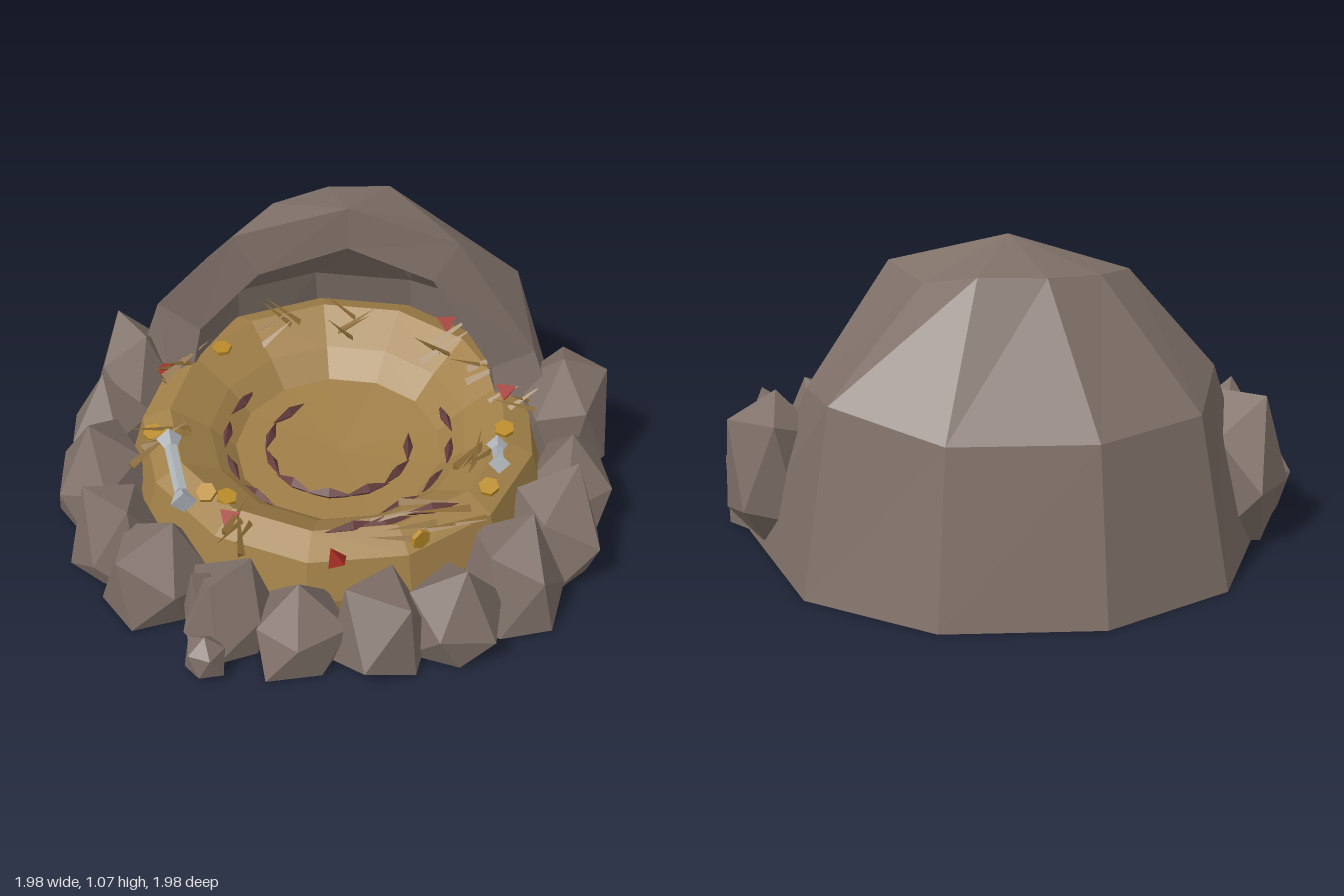
import * as THREE from 'three';
import { mergeVertices } from 'three/addons/utils/BufferGeometryUtils.js';

const mat = (name, color, side = THREE.FrontSide) =>
  new THREE.MeshStandardMaterial({ name, color, side, flatShading: true });

export function createModel() {
  const model = new THREE.Group();
  const stone = mat('stone', 0x7f7068, THREE.DoubleSide);
  const straw = mat('straw', 0xa07f48);
  const dryGrass = mat('dryGrass', 0x8a6a36);
  const twigBrown = mat('twigBrown', 0x663f3e);
  const bone = mat('bone', 0xb0b5bb);
  const gold = mat('gold', 0xb88a28);
  const red = mat('red', 0x9c2a20);

  let seed = 7;
  const rand = (a = 0, b = 1) => {
    seed = (seed * 16807) % 2147483647;
    return a + (b - a) * (seed / 2147483647);
  };
  const group = (name) => {
    const g = new THREE.Group();
    g.name = name;
    model.add(g);
    return g;
  };
  const add = (parent, name, geo, material, x = 0, y = 0, z = 0) => {
    const m = new THREE.Mesh(geo, material);
    m.name = name;
    m.position.set(x, y, z);
    parent.add(m);
    return m;
  };

  // Stone hood: rows of six columns around the back, closing at an apex
  const outer = [
    [[0.89, 0, -0.15], [0.67, 0, -0.73], [0.25, 0, -0.99], [-0.27, 0, -0.99], [-0.68, 0, -0.73], [-0.89, 0, -0.15]],
    [[0.67, 0.55, -0.25], [0.58, 0.62, -0.65], [0.22, 0.56, -0.87], [-0.25, 0.56, -0.87], [-0.59, 0.57, -0.65], [-0.69, 0.61, -0.26]],
    [[0.39, 0.98, -0.23], [0.28, 0.95, -0.42], [0.11, 1.0, -0.55], [-0.11, 0.99, -0.53], [-0.29, 0.97, -0.42], [-0.4, 0.94, -0.23]],
  ];
  const apex = [0, 1.07, -0.26];
  const inner = outer.map((row, r) => row.map(([x, y, z], c) => {
    const edge = c === 0 || c === 5;
    return [x * (r === 0 ? 0.7 : 0.78), y * 0.84, edge ? z : -0.25 + (z + 0.25) * 0.82];
  }));
  const innerApex = [0, 0.91, -0.26];
  const tris = [];
  const quad = (a, b, c, d) => tris.push(...a, ...b, ...c, ...a, ...c, ...d);
  const shell = (rows, top, flip) => {
    for (let c = 0; c < 5; c++) {
      for (let r = 0; r < 2; r++) {
        const q = [rows[r][c], rows[r][c + 1], rows[r + 1][c + 1], rows[r + 1][c]];
        quad(...(flip ? q.reverse() : q));
      }
      const t = [rows[2][c], rows[2][c + 1], top];
      (flip ? t.reverse() : t).forEach((p) => tris.push(...p));
    }
  };
  shell(outer, apex, false);
  shell(inner, innerApex, true);
  for (let c = 0; c < 5; c++) quad(outer[0][c + 1], outer[0][c], inner[0][c], inner[0][c + 1]);
  const arch = (rows, top) => [rows[0][0], rows[1][0], rows[2][0], top, rows[2][5], rows[1][5], rows[0][5]];
  const oa = arch(outer, apex), ia = arch(inner, innerApex);
  for (let i = 0; i < 6; i++) quad(oa[i], oa[i + 1], ia[i + 1], ia[i]);
  const hoodGeo = new THREE.BufferGeometry();
  hoodGeo.setAttribute('position', new THREE.Float32BufferAttribute(tris, 3));
  hoodGeo.computeVertexNormals();
  add(model, 'stoneHood', hoodGeo, stone);

  // Straw nest: a shallow bowl, slightly lower toward the front
  const profile = [[0, 0.006], [0.73, 0.006], [0.74, 0.18], [0.7, 0.32], [0.6, 0.365], [0.46, 0.28], [0.37, 0.2], [0, 0.18]];
  const nestZ = -0.05, tilt = 0.08;
  const nestGeo = new THREE.LatheGeometry(profile.map((p) => new THREE.Vector2(...p)), 13);
  const np = nestGeo.attributes.position;
  for (let i = 0; i < np.count; i++) {
    if (np.getY(i) > 0.01) np.setY(i, np.getY(i) - tilt * np.getZ(i));
  }
  add(model, 'strawNest', nestGeo, straw, 0, 0, nestZ);
  const nestHeight = (x, z) => {
    const r = Math.hypot(x, z - nestZ);
    for (let i = 7; i > 3; i--) {
      const [r0, y0] = profile[i], [r1, y1] = profile[i - 1];
      if (r <= r1) return y0 + (y1 - y0) * (r - r0) / (r1 - r0) - tilt * (z - nestZ);
    }
    return 0.33 - tilt * (z - nestZ);
  };

  // Ring of rough boulders cut off by the ground: x, z, radius, top, underside
  const rocks = group('boulderRing');
  const boulder = (x, z, r, top, under = -0.7 * top) => {
    let geo = new THREE.IcosahedronGeometry(1, 0);
    geo.rotateX(rand(0, 6)).rotateY(rand(0, 6));
    geo.deleteAttribute('uv');
    geo.deleteAttribute('normal');
    geo = mergeVertices(geo, 1e-3);
    const p = geo.attributes.position;
    for (let i = 0; i < p.count; i++) {
      const k = rand(0.96, 1.24);
      p.setXYZ(i, p.getX(i) * k * r, p.getY(i) * k, p.getZ(i) * k * r);
    }
    geo.computeBoundingBox();
    const { min, max } = geo.boundingBox;
    for (let i = 0; i < p.count; i++) {
      const t = (p.getY(i) - min.y) / (max.y - min.y);
      p.setY(i, Math.max(0, under + (top - under) * t));
    }
    geo.computeVertexNormals();
    add(rocks, 'boulder', geo, stone, x, 0, z);
  };
  [[-0.79, -0.26, 0.155, 0.52, -0.1], [-0.84, -0.05, 0.15, 0.42], [-0.81, 0.2, 0.17, 0.41], [-0.68, 0.47, 0.155, 0.35],
    [-0.52, 0.61, 0.18, 0.34], [-0.25, 0.75, 0.155, 0.29], [-0.34, 0.76, 0.05, 0.29], [-0.29, 0.92, 0.07, 0.15, -0.03],
    [-0.01, 0.79, 0.16, 0.3], [0.25, 0.74, 0.175, 0.31], [0.49, 0.66, 0.155, 0.33], [0.67, 0.47, 0.17, 0.37],
    [0.79, 0.22, 0.175, 0.41], [0.83, -0.02, 0.16, 0.4], [0.79, -0.26, 0.155, 0.54, -0.1],
  ].forEach((b) => boulder(...b));

  // Dark twigs laid in two broken rings, plus a loose bundle at the front
  const twigs = group('twigs');
  const twig = (x, z, turn, len) => {
    const t = add(twigs, 'twig', new THREE.OctahedronGeometry(1), twigBrown, x, nestHeight(x, z) + 0.012, z);
    t.scale.set(len, 0.028, 0.018);
    t.rotation.y = turn;
  };
  for (const [radius, count, from, to] of [[0.25, 8, -0.1, 3.75], [0.4, 4, -0.4, 0.85], [0.4, 4, 2.2, 3.5]]) {
    for (let i = 0; i < count; i++) {
      const a = from + (to - from) * i / (count - 1);
      twig(Math.cos(a) * radius, Math.sin(a) * radius - 0.05, -a - Math.PI / 2, 0.085);
    }
  }
  for (const [x, z] of [[0.13, 0.51], [0.23, 0.47], [0.38, 0.4]]) twig(x, z, 0.45, 0.1);

  // Tufts of dry grass on the rim: x, z, heading, upward lean
  const grass = group('dryGrassTufts');
  const tufts = [[-0.21, 0.56, 1.5, 0.3], [0.28, 0.5, 0.35, 0.15], [0.42, 0.42, 0.3, 0.15], [0.62, -0.19, 0.3, 0.4],
    [-0.62, -0.2, 0.9, 0.35], [-0.32, -0.5, 0.3, 0.7], [-0.06, -0.57, 0.2, 0.8], [0.34, -0.48, 0.2, 0.6],
    [0.5, -0.36, 0.5, 0.5], [0.48, 0.1, 1.3, 0.2], [-0.56, 0.2, 0.9, 0.25]];
  for (const [tx, tz, heading, lean] of tufts) {
    for (let i = 0; i < 4; i++) {
      const x = tx + rand(-0.05, 0.05), z = tz + rand(-0.05, 0.05);
      const blade = add(grass, 'grassBlade', new THREE.ConeGeometry(0.016, rand(0.17, 0.26), 3), dryGrass,
        x, nestHeight(x, z) + 0.03, z);
      const up = lean + rand(-0.15, 0.15);
      blade.rotation.set(0, heading + rand(-0.3, 0.3), (Math.PI / 2 - up) * (i % 2 ? 1 : -1));
    }
  }

  // Bones: a shaft with flared ends
  const makeBone = (x, y, z, len, turn, lean) => {
    const g = group('bone');
    g.position.set(x, y, z);
    g.rotation.set(0, turn, lean);
    const w = 0.06 + len * 0.08;
    const shaft = add(g, 'boneShaft', new THREE.CylinderGeometry(w * 0.3, w * 0.3, len, 5), bone);
    shaft.rotation.z = Math.PI / 2;
    for (const s of [-1, 1]) {
      const end = add(g, 'boneEnd', new THREE.ConeGeometry(w * 0.58, w * 1.3, 4), bone, s * len / 2);
      end.rotation.z = s * Math.PI / 2;
    }
  };
  makeBone(-0.5, 0.355, 0.35, 0.22, -1.2, -0.1);
  makeBone(0.58, 0.385, 0.14, 0.07, -1.45, 0.25);

  // Gold coins lying on the straw, and one standing against the front boulders
  const treasure = group('treasure');
  const coin = (x, y, z) =>
    add(treasure, 'coin', new THREE.CylinderGeometry(0.036, 0.036, 0.016, 6), gold, x, y, z);
  for (const [x, z] of [[-0.63, 0.14], [-0.57, 0.18], [-0.38, 0.43], [-0.31, 0.43], [0.59, -0.02], [0.56, 0.26], [-0.48, -0.34]]) {
    const c = coin(x, nestHeight(x, z) + 0.014, z);
    c.rotation.set(rand(0, 0.4), rand(0, 3), rand(-0.2, 0.2));
  }
  coin(0.36, 0.33, 0.55).rotation.set(Math.PI / 2, 0, -0.75);

  // Red shards
  for (const [x, z] of [[-0.28, 0.53], [0.1, 0.65], [0.58, -0.2], [-0.67, -0.2], [0.33, -0.56]]) {
    const s = add(treasure, 'redShard', new THREE.TetrahedronGeometry(0.046), red, x, nestHeight(x, z) + 0.02, z);
    s.rotation.set(rand(0, 3), rand(0, 3), 0);
  }
  return model;
}
